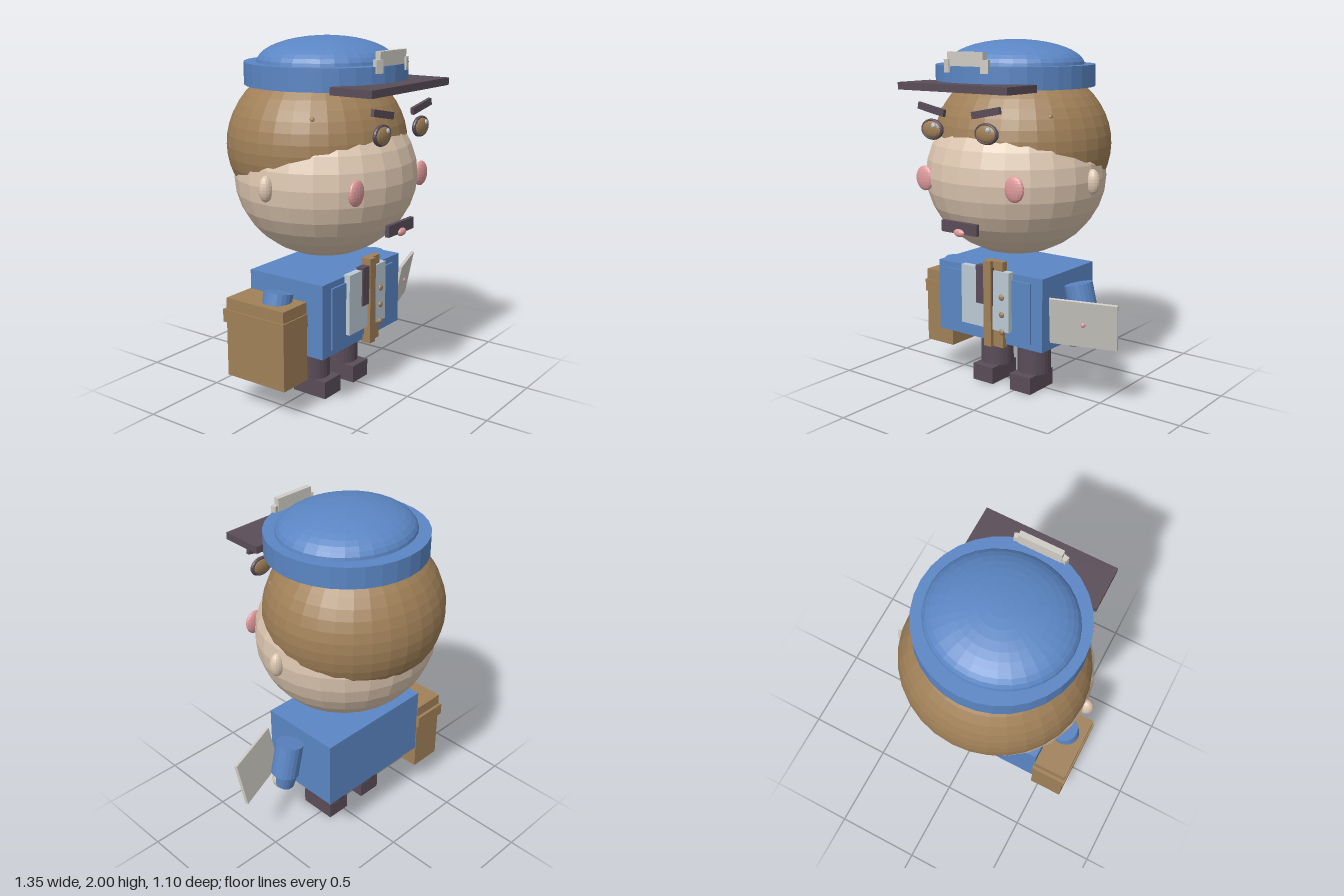
import * as THREE from 'three';

const mat = (name, color, flat = false) => {
  const m = new THREE.MeshStandardMaterial({ color, flatShading: flat });
  m.name = name;
  return m;
};

export function createModel() {
  const blue = mat('uniform blue', 0x5b86c4, true);
  const brown = mat('brown', 0xa08058, true);
  const skin = mat('skin', 0xdcc6b0, true);
  const dark = mat('dark plum', 0x5a4d58, true);
  const pink = mat('pink', 0xdf9a9c, true);
  const pale = mat('pale blue', 0xbccad4, true);
  const grey = mat('light grey', 0xcfccc4, true);

  const root = new THREE.Group();
  root.name = 'officerFigure';
  const CX = -0.09; // middle line of the figure

  const add = (name, geo, material, x, y, z, parent = root) => {
    const m = new THREE.Mesh(geo, material);
    m.name = name;
    m.position.set(x, y, z);
    parent.add(m);
    return m;
  };
  // box given by its limits on each axis
  const box = (name, material, x0, x1, y0, y1, z0, z1) =>
    add(name, new THREE.BoxGeometry(x1 - x0, y1 - y0, z1 - z0), material,
      (x0 + x1) / 2, (y0 + y1) / 2, (z0 + z1) / 2);
  const ball = (name, material, x, y, z, rx, ry = rx, rz = rx, w = 16, h = 12) =>
    add(name, new THREE.SphereGeometry(1, w, h).scale(rx, ry, rz), material, x, y, z);

  // head and hair
  ball('head', skin, CX, 1.25, 0, 0.52, 0.46, 0.5, 24, 16);
  ball('hair', brown, CX, 1.42, -0.06, 0.515, 0.453, 0.49, 32, 24);
  const tuft = add('hairTuft', new THREE.ConeGeometry(0.035, 0.07, 8), brown, CX, 1.73, 0.26);
  tuft.rotation.x = Math.PI;

  // mirrored face parts
  for (const s of [-1, 1]) {
    const side = s > 0 ? 'left' : 'right';
    ball(side + 'Ear', skin, CX + s * 0.52, 1.25, 0, 0.043, 0.07, 0.037);
    ball(side + 'Cheek', pink, CX + s * 0.312, 1.245, 0.42, 0.063, 0.07, 0.024);
    ball(side + 'HairStrand', brown, CX + s * 0.375, 1.605, 0.19, 0.016);
    const ex = CX + s * 0.187;
    ball(side + 'Eye', brown, ex, 1.53, 0.49, 0.068, 0.048, 0.022);
    add(side + 'EyeRim', new THREE.TorusGeometry(0.066, 0.011, 8, 24).scale(1, 0.74, 1),
      dark, ex, 1.53, 0.488);
    ball(side + 'EyeGlint', pale, ex + 0.024, 1.552, 0.508, 0.014, 0.014, 0.008, 10, 8);
    const brow = add(side + 'Eyebrow', new THREE.BoxGeometry(0.185, 0.037, 0.02),
      dark, ex, 1.637, 0.49);
    brow.rotation.z = s * 0.19;
  }
  box('moustache', dark, -0.215, 0.03, 0.982, 1.045, 0.475, 0.498);
  ball('mouth', pink, CX, 0.988, 0.497, 0.037, 0.022, 0.018);

  // cap
  add('capBand', new THREE.CylinderGeometry(0.445, 0.445, 0.12, 32), blue, CX, 1.805, 0);
  add('capCrown', new THREE.SphereGeometry(1, 32, 10, 0, Math.PI * 2, 0, Math.PI / 2)
    .scale(0.393, 0.14, 0.367), blue, CX, 1.86, 0);
  box('capVisor', dark, -0.465, 0.28, 1.737, 1.777, 0.3, 0.55);
  box('capBadge', grey, -0.212, 0.03, 1.86, 1.94, 0.4, 0.432);
  for (const s of [-1, 1]) {
    const wing = add('badgeWing', new THREE.BoxGeometry(0.045, 0.07, 0.03), grey,
      CX + s * 0.125, 1.865, 0.42);
    wing.rotation.y = s * 0.3;
  }

  // torso and uniform front
  box('torso', blue, -0.465, 0.28, 0.318, 0.735, -0.245, 0.25);
  box('jacketPanel', blue, -0.39, 0.205, 0.352, 0.7, 0.245, 0.262);
  box('rightShirtFront', pale, -0.265, -0.085, 0.402, 0.745, 0.245, 0.285);
  box('leftShirtFront', pale, -0.035, 0.08, 0.402, 0.745, 0.245, 0.29);
  box('tie', dark, -0.15, -0.03, 0.54, 0.76, 0.25, 0.294);
  box('strap', brown, -0.09, 0.03, 0.302, 0.797, 0.24, 0.28);
  box('strapFront', brown, -0.09, -0.038, 0.302, 0.797, 0.27, 0.302);
  for (let i = 0; i < 3; i++) ball('button', brown, 0.03, 0.4 + i * 0.1, 0.29, 0.018, 0.018, 0.012, 12, 8);

  // legs and shoes
  for (const x of [-0.23, 0.045]) {
    add('leg', new THREE.CylinderGeometry(0.098, 0.098, 0.225, 24), dark, x, 0.2075, 0.005);
    box('shoe', dark, x - 0.073, x + 0.073, 0, 0.1, -0.08, 0.145);
  }

  // arms and hands
  for (const s of [-1, 1]) {
    const side = s > 0 ? 'left' : 'right';
    const upper = add(side + 'UpperArm', new THREE.CylinderGeometry(0.08, 0.08, 0.2, 20), blue,
      CX + s * 0.465, 0.575, 0.008);
    upper.rotation.z = s * 0.24;
    const fore = add(side + 'Forearm', new THREE.CylinderGeometry(0.058, 0.058, 0.15, 20), blue,
      CX + s * 0.465, 0.45, 0.015);
    fore.rotation.x = -0.3;
    ball(side + 'Hand', skin, CX + s * 0.455, 0.385, 0.065, 0.064, 0.062, 0.06);
  }

  // shoulder bag
  box('bag', brown, -0.662, -0.463, 0.178, 0.625, -0.25, 0.145);
  box('bagBand', brown, -0.671, -0.46, 0.487, 0.56, -0.268, 0.152);

  // clipboard held in the left hand
  const board = new THREE.Group();
  board.name = 'clipboard';
  board.position.set(0.483, 0.498, 0.152);
  board.rotation.set(0.19, 0.35, -0.03, 'YXZ');
  root.add(board);
  add('boardPlate', new THREE.BoxGeometry(0.375, 0.27, 0.018), grey, 0, 0, 0, board);
  add('boardStud', new THREE.SphereGeometry(0.014, 10, 8), pink, 0, 0, 0.008, board);

  return root;
}
